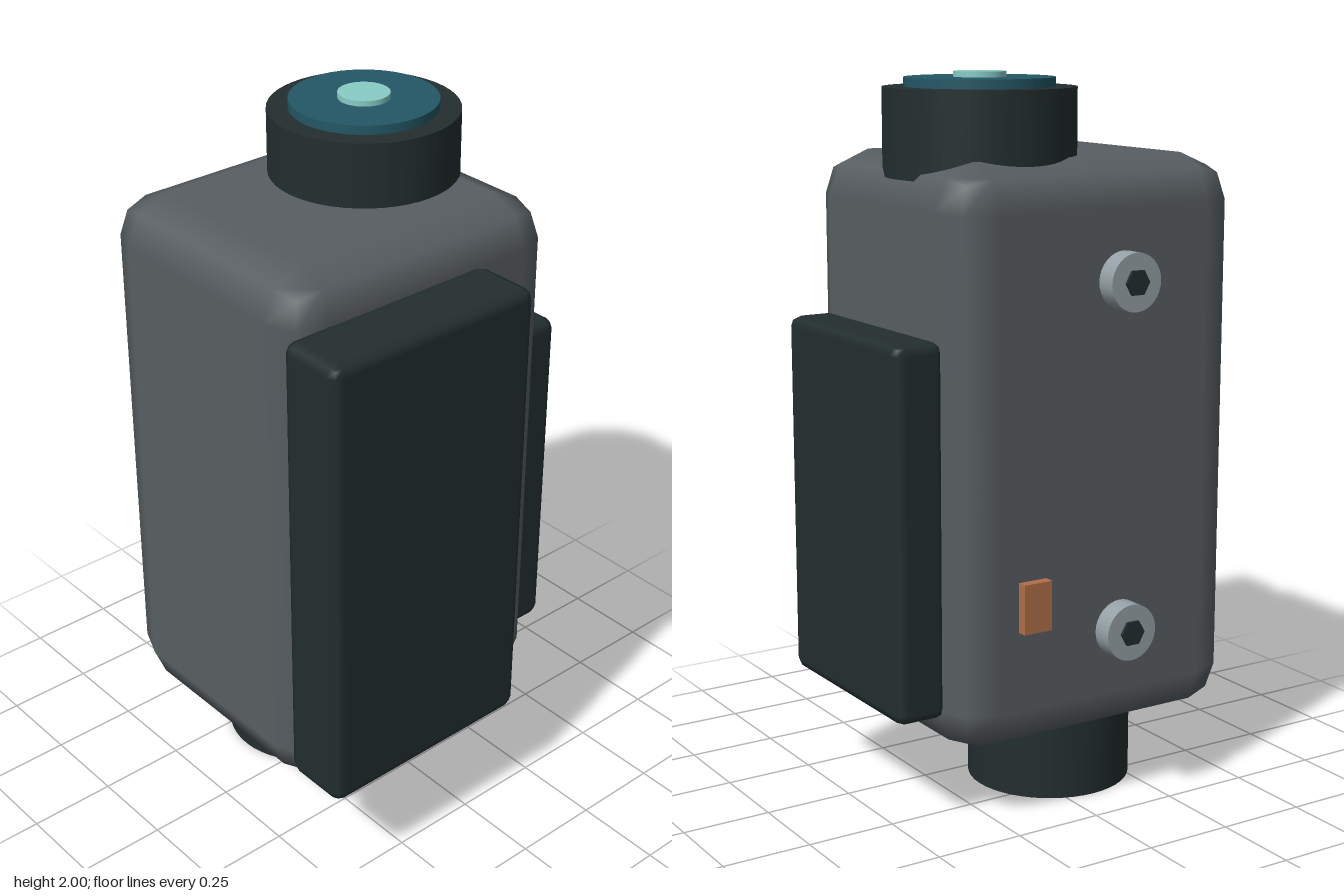
import * as THREE from 'three';
import { RoundedBoxGeometry } from 'three/addons/geometries/RoundedBoxGeometry.js';

function material(name, color) {
  const m = new THREE.MeshStandardMaterial({ color });
  m.name = name;
  return m;
}

export function createModel() {
  const grey = material('housing grey', 0x585e62);
  const dark = material('dark green black', 0x232e2f);
  const teal = material('lens teal', 0x235765);
  const mint = material('lens mint', 0x89ccc6);
  const steel = material('steel', 0x95a1a6);
  const copper = material('copper', 0xb07048);

  const model = new THREE.Group();
  model.name = 'device';

  const add = (parent, name, geometry, mat) => {
    const mesh = new THREE.Mesh(geometry, mat);
    mesh.name = name;
    parent.add(mesh);
    return mesh;
  };

  // Box with bevelled edges between two opposite corners
  const block = (name, a, b, radius, mat) => {
    const size = a.map((v, i) => b[i] - v);
    const mesh = add(model, name, new RoundedBoxGeometry(...size, 1, radius), mat);
    mesh.position.set(...a.map((v, i) => (v + b[i]) / 2));
  };

  // Upright cylinder from y0 to y1
  const drum = (name, x, z, r, y0, y1, mat) => {
    const mesh = add(model, name, new THREE.CylinderGeometry(r, r, y1 - y0, 48), mat);
    mesh.position.set(x, (y0 + y1) / 2, z);
  };

  // Housing with its side and back packs
  block('housing', [-0.455, 0.205, -0.405], [0.36, 1.78, 0.5], 0.125, grey);
  block('sidePack', [0.345, 0.33, -0.137], [0.547, 1.665, 0.53], 0.03, dark);
  block('backPack', [-0.355, 0.31, -0.532], [0.257, 1.33, -0.385], 0.03, dark);

  // Top turret with stacked lens discs, and the foot
  drum('turret', -0.107, -0.127, 0.261, 1.725, 1.96, dark);
  drum('lens', -0.107, -0.127, 0.203, 1.94, 1.985, teal);
  drum('lensCentre', -0.107, -0.127, 0.071, 1.97, 2.0, mint);
  drum('foot', -0.137, 0.083, 0.232, 0, 0.26, dark);

  // Socket screws on the right side, pointing along -x
  for (const y of [1.47, 0.523]) {
    const screw = new THREE.Group();
    screw.name = 'screw';
    screw.position.set(-0.516, y, 0.078);
    screw.rotation.z = Math.PI / 2;
    add(screw, 'screwHead', new THREE.CylinderGeometry(0.078, 0.078, 0.058, 32), steel);
    const hex = new THREE.CylinderGeometry(0.037, 0.037, 0.02, 6).toNonIndexed();
    hex.computeVertexNormals();
    add(screw, 'hexSocket', hex, dark).position.y = 0.027;
    model.add(screw);
  }

  // Small copper tab
  const tab = add(model, 'copperTab', new THREE.BoxGeometry(0.028, 0.135, 0.085), copper);
  tab.position.set(-0.516, 0.637, -0.213);

  return model;
}
